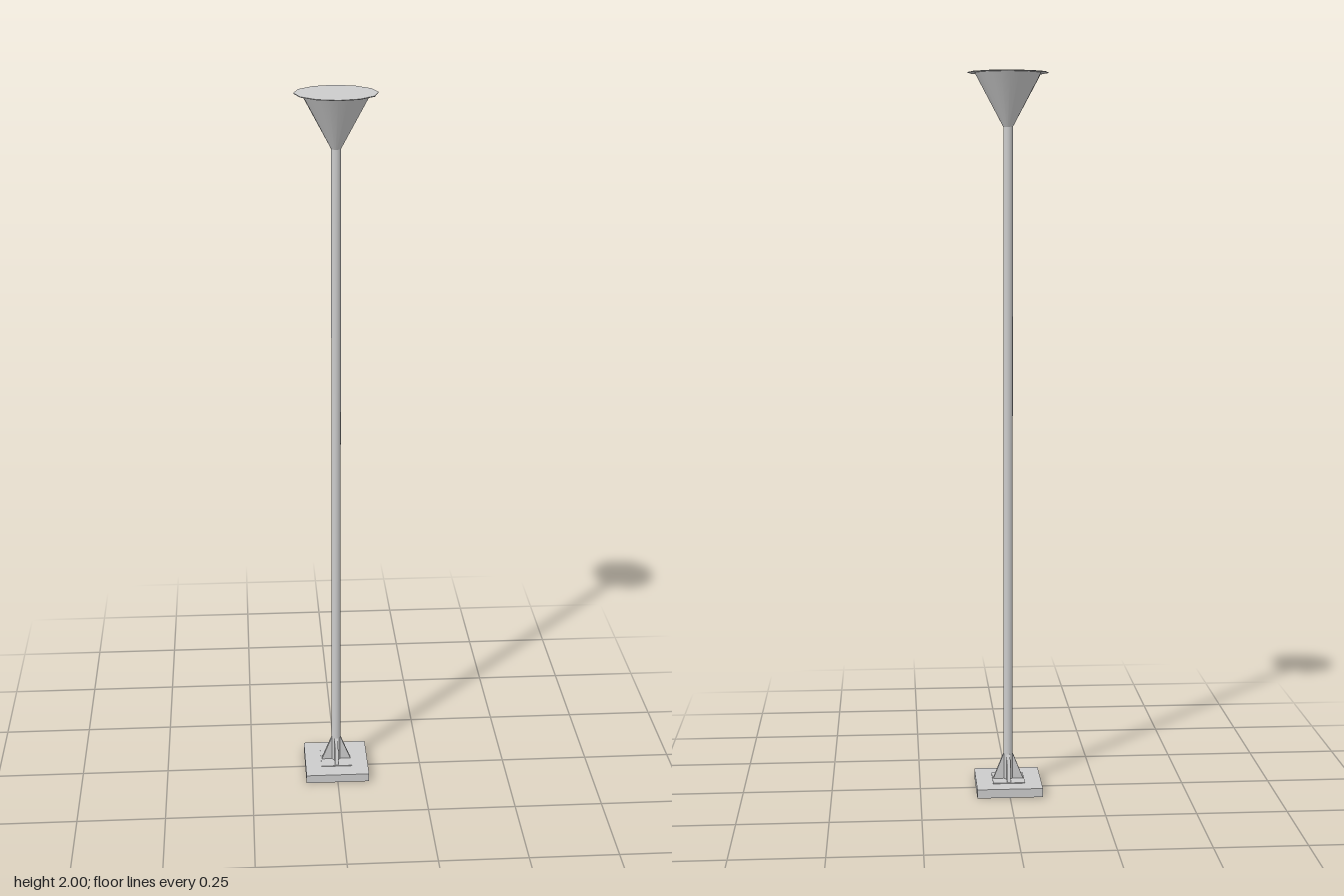
import * as THREE from 'three';

export function createModel() {
  const model = new THREE.Group();
  const grey = new THREE.MeshStandardMaterial({ color: 0xcccccc, side: THREE.DoubleSide });

  function add(name, geometry, y, parent = model) {
    const mesh = new THREE.Mesh(geometry, grey);
    mesh.name = name;
    mesh.position.y = y;
    parent.add(mesh);
    return mesh;
  }

  // Square foot with a thin mounting flange
  add('basePlate', new THREE.BoxGeometry(0.184, 0.025, 0.184), 0.0125);
  add('mountingFlange', new THREE.BoxGeometry(0.09, 0.002, 0.09), 0.026);

  // Slender post
  add('post', new THREE.CylinderGeometry(0.013, 0.013, 1.84, 16), 0.945);

  // Four tapered ribs bracing the post
  const profile = new THREE.Shape([
    new THREE.Vector2(0, 0), new THREE.Vector2(0.043, 0),
    new THREE.Vector2(0.013, 0.075), new THREE.Vector2(0, 0.075),
  ]);
  const thickness = 0.01;
  const ribGeometry = new THREE.ExtrudeGeometry(profile, { depth: thickness, bevelEnabled: false });
  ribGeometry.translate(0, 0, -thickness / 2);
  const ribs = new THREE.Group();
  ribs.name = 'braceRibs';
  for (let i = 0; i < 4; i++) {
    add('braceRib', ribGeometry, 0.025, ribs).rotation.y = i * Math.PI / 2;
  }
  model.add(ribs);

  // Flared lamp head
  add('conicalShade', new THREE.CylinderGeometry(0.09, 0.012, 0.145, 24, 1, true), 1.9255);

  // Thin twelve-sided cap
  const cap = new THREE.CylinderGeometry(0.1095, 0.1095, 0.002, 12);
  add('lampCap', cap, 1.999);

  return model;
}
